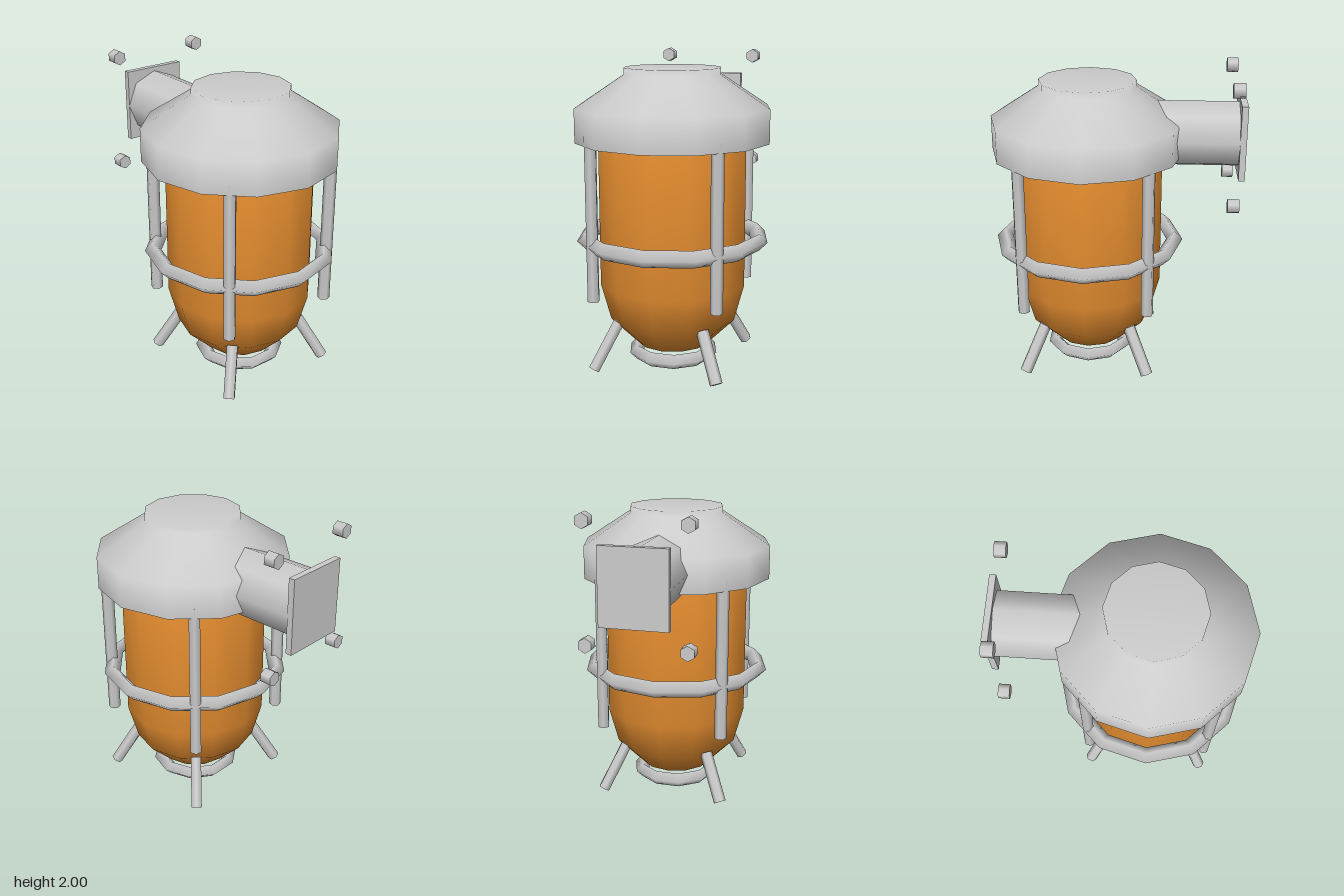
import * as THREE from 'three';

const grey = new THREE.MeshStandardMaterial({ color: 0xcccccc });
const greyOpen = new THREE.MeshStandardMaterial({ color: 0xcccccc, side: THREE.DoubleSide });
const amber = new THREE.MeshStandardMaterial({ color: 0xdb872d });

function add(parent, name, geometry, material = grey) {
  const mesh = new THREE.Mesh(geometry, material);
  mesh.name = name;
  parent.add(mesh);
  return mesh;
}

function lathe(points, sides) {
  return new THREE.LatheGeometry(points.map(([r, y]) => new THREE.Vector2(r, y)), sides);
}

// Cylinder running between two points
function rod(from, to, radius, sides) {
  const axis = to.clone().sub(from);
  const geometry = new THREE.CylinderGeometry(radius, radius, axis.length(), sides);
  geometry.applyQuaternion(
    new THREE.Quaternion().setFromUnitVectors(new THREE.Vector3(0, 1, 0), axis.normalize()));
  const mid = from.clone().add(to).multiplyScalar(0.5);
  return geometry.translate(mid.x, mid.y, mid.z);
}

// Horizontal ring with a diamond section
function ring(radius, tube, sides, y) {
  return new THREE.TorusGeometry(radius, tube, 4, sides).rotateX(-Math.PI / 2).translate(0, y, 0);
}

export function createModel() {
  const model = new THREE.Group();
  model.name = 'caged wall lamp';
  const lamp = new THREE.Group();
  lamp.name = 'lamp';
  lamp.position.z = 0.185;
  model.add(lamp);

  // Glass jar with a round bottom
  const jarProfile = [];
  const R = 0.478, centreY = 0.54;
  for (let i = 0; i <= 3; i++) {
    const a = (i * Math.PI) / 6;
    jarProfile.push([R * Math.sin(a), centreY - R * Math.cos(a)]);
  }
  jarProfile.push([R, 1.66], [0, 1.66]);
  add(lamp, 'glassJar', lathe(jarProfile, 12), amber);

  // Metal cap, open underneath
  add(lamp, 'cap', lathe(
    [[0.625, 1.465], [0.625, 1.68], [0.31, 1.885], [0.31, 1.925], [0, 1.925]], 12), greyOpen);

  // Cage and base rings
  add(lamp, 'cageRing', ring(0.571, 0.054, 12, 0.837));
  add(lamp, 'baseRing', ring(0.25, 0.048, 10, 0.0625));

  // Upright cage bars and splayed feet on the diagonals
  const V = (y, r) => new THREE.Vector3(0, y, r);
  for (let i = 0; i < 4; i++) {
    const turn = Math.PI / 4 + (i * Math.PI) / 2;
    add(lamp, 'cageBar', rod(V(0.48, 0.566), V(1.53, 0.566), 0.04, 6)).rotation.y = turn;
    add(lamp, 'foot', rod(V(0.31, 0.395), V(0.021, 0.573), 0.04, 6)).rotation.y = turn;
  }

  // Wall pipe, flange and bolts behind the cap
  const pipeY = 1.585;
  const pipe = new THREE.CylinderGeometry(0.214, 0.214, 0.69, 8).rotateX(Math.PI / 2);
  add(model, 'wallPipe', pipe).position.set(0, pipeY, -0.435);
  add(model, 'wallFlange', new THREE.BoxGeometry(0.425, 0.48, 0.04)).position.set(0, pipeY, -0.79);
  for (const sx of [-1, 1]) {
    for (const sy of [-1, 1]) {
      const bolt = new THREE.CylinderGeometry(0.047, 0.047, 0.073, 6).rotateX(Math.PI / 2);
      add(model, 'bolt', bolt).position.set(sx * 0.311, pipeY + sy * 0.368, -0.738);
    }
  }
  return model;
}
